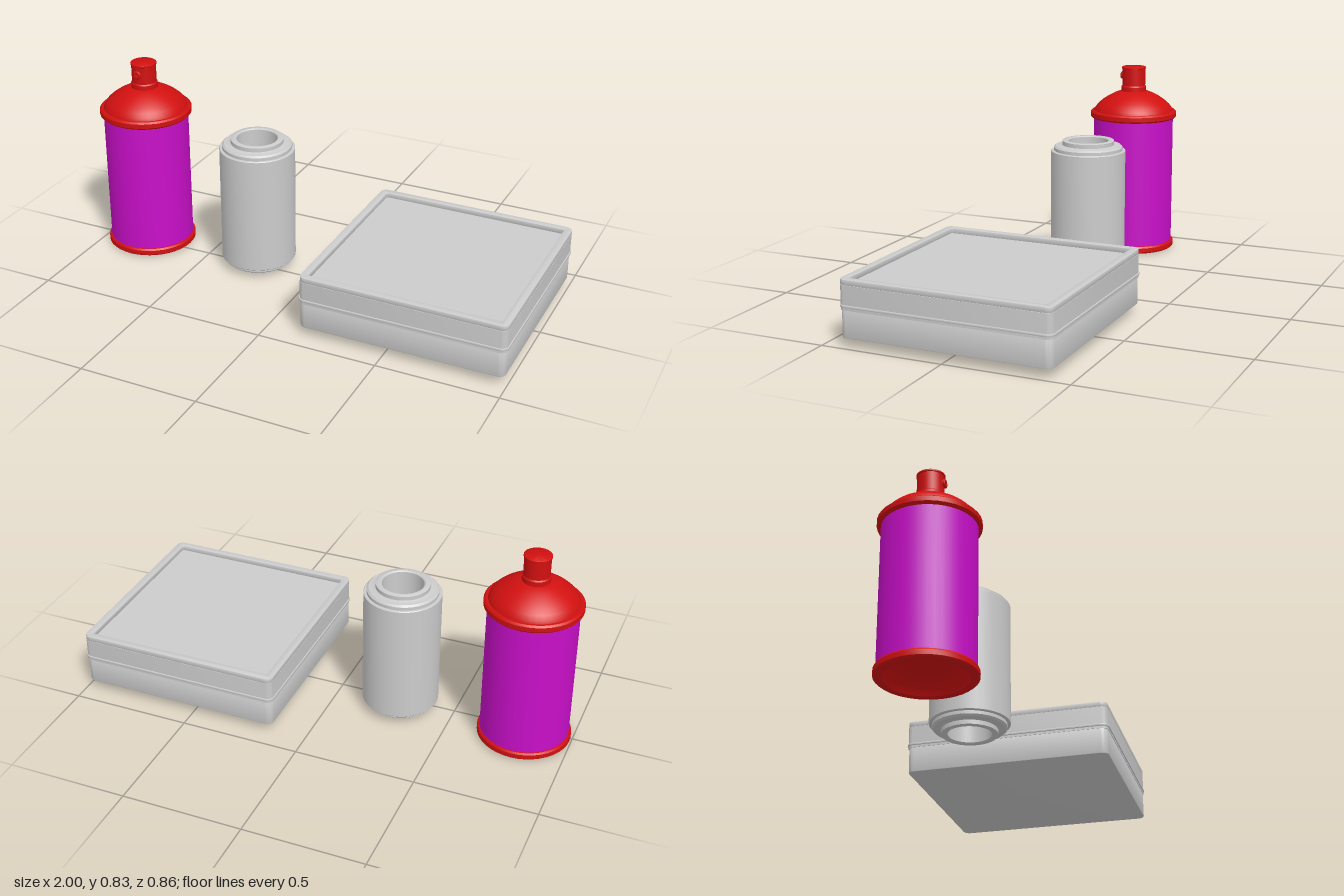
import * as THREE from 'three';
import { toCreasedNormals } from 'three/addons/utils/BufferGeometryUtils.js';

const grey = new THREE.MeshStandardMaterial({ color: 0xcccccc });
const red = new THREE.MeshStandardMaterial({ color: 0xd21010 });
const purple = new THREE.MeshStandardMaterial({ color: 0xc80fc8 });

function add(parent, name, geometry, material) {
  const mesh = new THREE.Mesh(geometry, material);
  mesh.name = name;
  parent.add(mesh);
  return mesh;
}

// Turned solid; profile runs from the bottom, up the outside, to the top
function turned(profile, segments = 40) {
  const points = profile.map(([r, y]) => new THREE.Vector2(r, y));
  return toCreasedNormals(new THREE.LatheGeometry(points, segments), 0.6);
}

// Square with rounded corners
function roundedSquare(half, r, Type = THREE.Shape) {
  const s = new Type();
  const c = half - r;
  [[c, -c, -Math.PI / 2], [c, c, 0], [-c, c, Math.PI / 2], [-c, -c, Math.PI]].forEach(
    ([x, y, a]) => s.absarc(x, y, r, a, a + Math.PI / 2, false));
  s.closePath();
  return s;
}

// Upright slab between two heights, optionally with a square opening
function slab(half, y0, y1, radius, bevel = 0, opening = 0) {
  const shape = roundedSquare(half - bevel, radius);
  if (opening) shape.holes.push(roundedSquare(opening + bevel, 0.01, THREE.Path));
  const geo = new THREE.ExtrudeGeometry(shape, {
    depth: y1 - y0 - 2 * bevel, curveSegments: 6, bevelEnabled: bevel > 0,
    bevelSize: bevel, bevelThickness: bevel, bevelSegments: 2,
  });
  geo.rotateX(-Math.PI / 2).translate(0, y0 + bevel, 0);
  return toCreasedNormals(geo, 0.6);
}

function createSprayCan() {
  const can = new THREE.Group();
  can.name = 'sprayCan';

  add(can, 'canBody', turned([[0.175, 0.03], [0.18, 0.03], [0.18, 0.61], [0.17, 0.61]]), purple);

  // Rolled foot with a domed-in underside
  add(can, 'canFoot', turned([
    [0, 0.075], [0.05, 0.07], [0.1, 0.055], [0.14, 0.028], [0.155, 0.003], [0.183, 0.003],
    [0.19, 0.009], [0.19, 0.028], [0.185, 0.035], [0.175, 0.036],
  ]), red);

  // Rolled rim and shoulder dome
  add(can, 'canShoulder', turned([
    [0.17, 0.604], [0.188, 0.604], [0.195, 0.611], [0.195, 0.63], [0.188, 0.637],
    [0.178, 0.637], [0.174, 0.648], [0.162, 0.664], [0.143, 0.681], [0.118, 0.698],
    [0.09, 0.713], [0.06, 0.725], [0, 0.725],
  ]), red);

  // Spray cap
  add(can, 'sprayCap', turned([
    [0.056, 0.72], [0.056, 0.745], [0.052, 0.75], [0.052, 0.825], [0.055, 0.827],
    [0.055, 0.833], [0.052, 0.835], [0, 0.835],
  ], 32), red);

  // Nozzle ring on the front of the cap
  const nozzle = add(can, 'nozzle', turned([
    [0.018, 0], [0.018, 0.018], [0.015, 0.021], [0.007, 0.021], [0.006, 0.012], [0, 0.012],
  ], 20), red);
  nozzle.rotation.x = Math.PI / 2;
  nozzle.position.set(0, 0.793, 0.039);

  can.position.set(-0.805, 0, -0.03);
  return can;
}

function createSleeve() {
  const sleeve = new THREE.Group();
  sleeve.name = 'hollowCan';
  // Upper half of the stepped outside, mirrored for the lower half
  const upper = [
    [0.158, 0.25], [0.155, 0.253], [0.146, 0.253], [0.146, 0.266], [0.138, 0.273],
    [0.115, 0.273], [0.11, 0.276], [0.11, 0.293], [0.107, 0.295], [0.09, 0.295], [0.085, 0.291],
  ];
  const lower = upper.map(([r, y]) => [r, -y]).reverse();
  const profile = [...lower, ...upper, lower[0]].map(([r, y]) => [r, y + 0.295]);
  add(sleeve, 'sleeveWall', turned(profile), grey);
  sleeve.position.set(-0.27, 0, -0.03);
  return sleeve;
}

function createBox() {
  const box = new THREE.Group();
  box.name = 'lidBox';
  add(box, 'boxBase', slab(0.425, 0.037, 0.155, 0.025, 0.004), grey);
  add(box, 'seamBead', slab(0.431, 0.155, 0.165, 0.03, 0.002), grey);
  add(box, 'boxLid', slab(0.427, 0.145, 0.24, 0.027), grey);
  // Raised rim around the sunken top panel
  add(box, 'lidRim', slab(0.427, 0.24, 0.262, 0.025, 0.003, 0.395), grey);
  box.position.set(0.565, 0, 0.001);
  return box;
}

export function createModel() {
  const model = new THREE.Group();
  model.name = 'containerSet';
  model.add(createSprayCan(), createSleeve(), createBox());
  return model;
}
